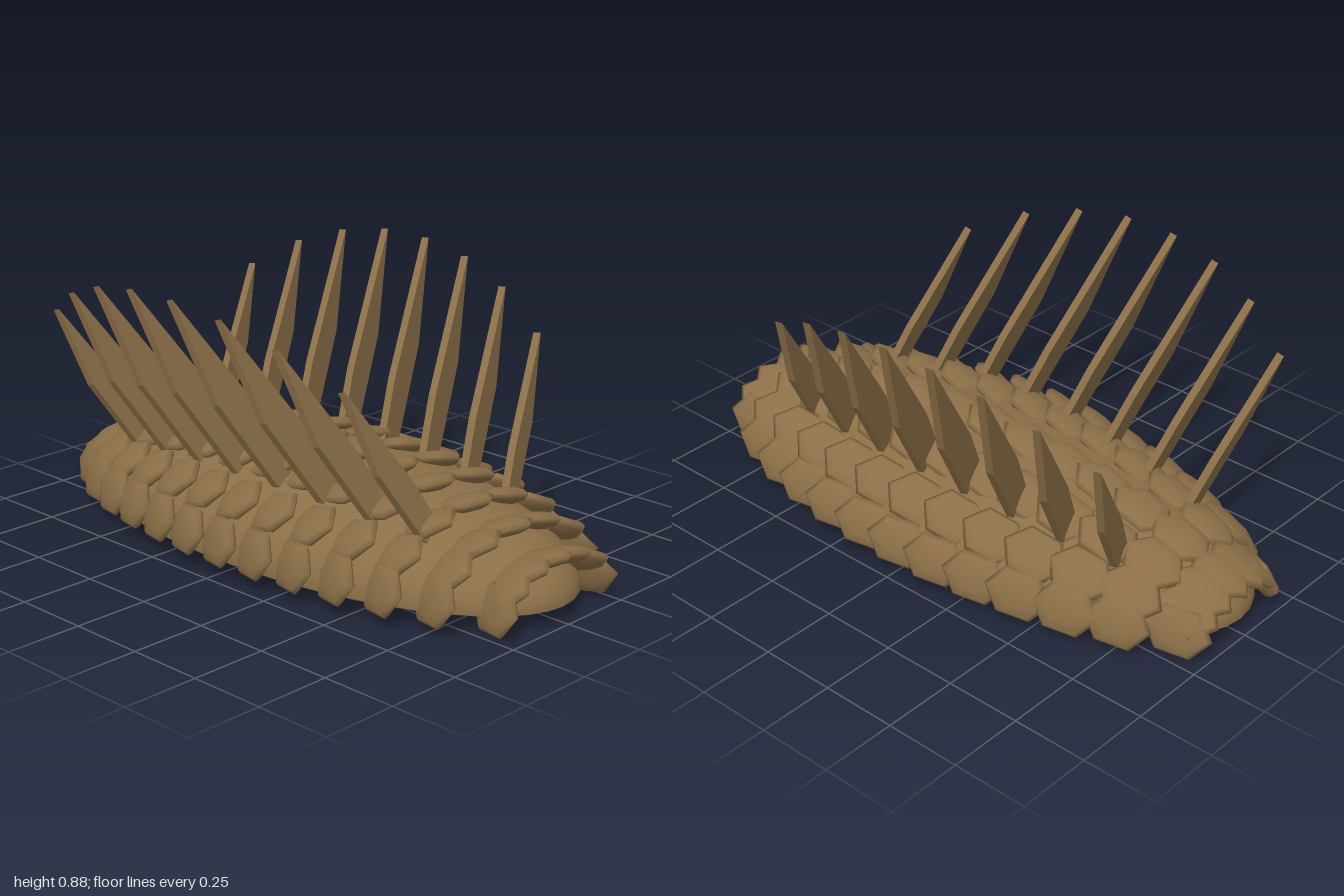
import * as THREE from 'three';

const HALF_W = 0.455, HALF_L = 0.98, RISE = 0.27, RIM_Y = 0.04;

// how much the cross-section shrinks towards the two ends
const taper = (z) => Math.sqrt(Math.max(0, 1 - z * z));

export function createModel() {
  const model = new THREE.Group();
  model.name = 'platedCreature';
  const hide = new THREE.MeshStandardMaterial({ color: 0x8b6f47 });
  hide.name = 'brownHide';

  // domed body with a nearly flat belly
  const bodyGeo = new THREE.SphereGeometry(1, 48, 32);
  const p = bodyGeo.attributes.position;
  for (let i = 0; i < p.count; i++) {
    const y = p.getY(i);
    p.setXYZ(i, p.getX(i) * HALF_W, RIM_Y + y * (y > 0 ? RISE : RIM_Y), p.getZ(i) * HALF_L);
  }
  bodyGeo.computeVertexNormals();
  const body = new THREE.Mesh(bodyGeo, hide);
  body.name = 'body';
  model.add(body);

  // rings of six-sided scales, front tips lifted away from the body
  const scaleGeo = new THREE.SphereGeometry(1, 6, 6);
  scaleGeo.rotateY(Math.PI / 2);
  scaleGeo.scale(0.086, 0.028, 0.11);
  const scales = new THREE.Group();
  scales.name = 'scales';
  for (let ring = 0; ring < 13; ring++) {
    const z = -0.895 + ring * 0.149;
    const f = taper(z);
    for (const deg of [12, 38, 64, 90, 116, 142, 168]) {
      const t = THREE.MathUtils.degToRad(deg);
      const scale = new THREE.Mesh(scaleGeo, hide);
      scale.name = 'scale';
      scale.position.set(HALF_W * f * Math.cos(t), RIM_Y + RISE * f * Math.sin(t), z);
      // face along the normal of the elliptical cross-section
      const normal = Math.atan2(Math.sin(t) / RISE, Math.cos(t) / HALF_W);
      scale.rotation.z = normal - Math.PI / 2;
      scale.rotateX(-0.33);
      scales.add(scale);
    }
  }
  model.add(scales);

  // two rows of flat back blades, leaning outwards and to the rear
  const outline = [[-0.05, -0.04], [0.055, -0.04], [0.08, 0.375], [0, 0.72], [-0.058, 0.22]];
  const blades = new THREE.Group();
  blades.name = 'backBlades';
  for (const side of [1, -1]) {
    const shape = new THREE.Shape(outline.map(([x, y]) => new THREE.Vector2(x * side, y)));
    const bladeGeo = new THREE.ExtrudeGeometry(shape, { depth: 0.024, bevelEnabled: false });
    bladeGeo.translate(0, 0, -0.012);

    const along = new THREE.Vector3(side * 0.345, 0.62, -0.15).normalize();
    const across = new THREE.Vector3(0.62, -0.345 * side, 0).normalize();
    const facing = new THREE.Vector3().crossVectors(across, along);
    const basis = new THREE.Matrix4().makeBasis(across, along, facing);

    for (let i = 0; i < 8; i++) {
      const z = 0.62 - i * 0.1815;
      const f = taper(z + 0.015);
      const blade = new THREE.Mesh(bladeGeo, hide);
      blade.name = side > 0 ? 'leftBlade' : 'rightBlade';
      blade.quaternion.setFromRotationMatrix(basis);
      blade.rotateY(0.26);
      blade.position.set(side * 0.22 * f, RIM_Y + 0.21 * f, z);
      blade.scale.set(f, f, 1);
      blades.add(blade);
    }
  }
  model.add(blades);

  return model;
}
